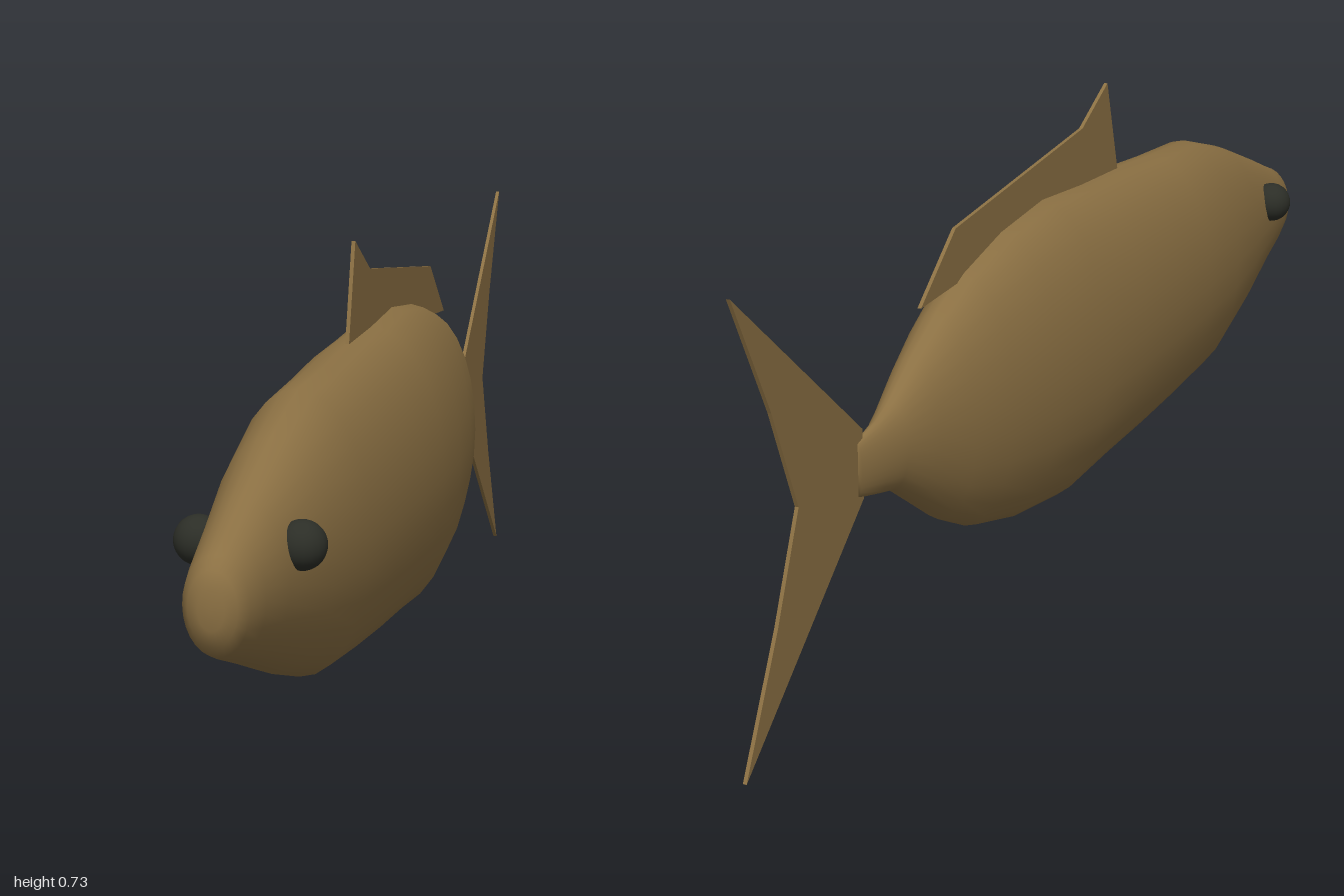
import * as THREE from 'three';

const SIDES = 28;

// Body stations from nose to tail: z, top y, bottom y, half width
const STATIONS = [
  [1.0, 0.375, 0.32, 0.018], [0.993, 0.4, 0.297, 0.034], [0.975, 0.416, 0.279, 0.046],
  [0.93, 0.432, 0.262, 0.055], [0.85, 0.463, 0.235, 0.066], [0.7, 0.518, 0.182, 0.09],
  [0.55, 0.56, 0.137, 0.108], [0.4, 0.567, 0.125, 0.116], [0.25, 0.578, 0.115, 0.121],
  [0.1, 0.583, 0.107, 0.122], [-0.05, 0.593, 0.093, 0.118], [-0.2, 0.577, 0.109, 0.106],
  [-0.33, 0.545, 0.14, 0.088], [-0.42, 0.505, 0.182, 0.069], [-0.5, 0.46, 0.234, 0.05],
  [-0.57, 0.415, 0.279, 0.032], [-0.61, 0.397, 0.287, 0.022], [-0.67, 0.384, 0.3, 0.01],
];

// Loft of elliptical rings, closed at both ends
function bodyGeometry() {
  const pos = [], index = [];
  for (const [z, top, bottom, w] of STATIONS) {
    for (let j = 0; j < SIDES; j++) {
      const a = (j / SIDES) * Math.PI * 2;
      pos.push(w * Math.cos(a), (top + bottom) / 2 + ((top - bottom) / 2) * Math.sin(a), z);
    }
  }
  const last = STATIONS.length - 1;
  const nose = pos.length / 3, tail = nose + 1;
  pos.push(0, 0.347, 1.0, 0, 0.342, -0.67);
  for (let j = 0; j < SIDES; j++) {
    const k = (j + 1) % SIDES;
    for (let i = 0; i < last; i++) {
      const a = i * SIDES + j, b = i * SIDES + k;
      index.push(a, a + SIDES, b, b, a + SIDES, b + SIDES);
    }
    index.push(nose, j, k, tail, last * SIDES + k, last * SIDES + j);
  }
  const g = new THREE.BufferGeometry();
  g.setAttribute('position', new THREE.Float32BufferAttribute(pos, 3));
  g.setIndex(index);
  g.computeVertexNormals();
  return g;
}

// Thin upright plate from a (z, y) outline
function finGeometry(points) {
  const shape = new THREE.Shape(points.map(([z, y]) => new THREE.Vector2(z, y)));
  const depth = 0.006;
  return new THREE.ExtrudeGeometry(shape, { depth, bevelEnabled: false })
    .translate(0, 0, -depth / 2)
    .rotateY(-Math.PI / 2);
}

export function createModel() {
  const fish = new THREE.Group();
  fish.name = 'fish';
  const skin = new THREE.MeshStandardMaterial({ color: 0x8b7043 });
  skin.name = 'olive brown skin';
  const dark = new THREE.MeshStandardMaterial({ color: 0x2c2e27 });
  dark.name = 'dark eye';

  const add = (name, geometry, material) => {
    const mesh = new THREE.Mesh(geometry, material);
    mesh.name = name;
    fish.add(mesh);
    return mesh;
  };

  add('body', bodyGeometry(), skin);

  // Long back fin with a raised front spike and a trailing tip
  add('dorsalFin', finGeometry([
    [0.25, 0.57], [0.205, 0.73], [0.105, 0.675], [-0.355, 0.62],
    [-0.47, 0.527], [-0.34, 0.535], [-0.2, 0.56], [0, 0.575],
  ]), skin);

  // Forked tail
  add('tailFin', finGeometry([
    [-0.655, 0.4], [-1, 0.683], [-0.905, 0.5], [-0.84, 0.345],
    [-0.905, 0.19], [-1, 0], [-0.655, 0.295],
  ]), skin);

  // Eyes
  for (const side of [1, -1]) {
    add(side > 0 ? 'leftEye' : 'rightEye', new THREE.SphereGeometry(0.035, 20, 14), dark)
      .position.set(side * 0.072, 0.395, 0.808);
  }
  return fish;
}
